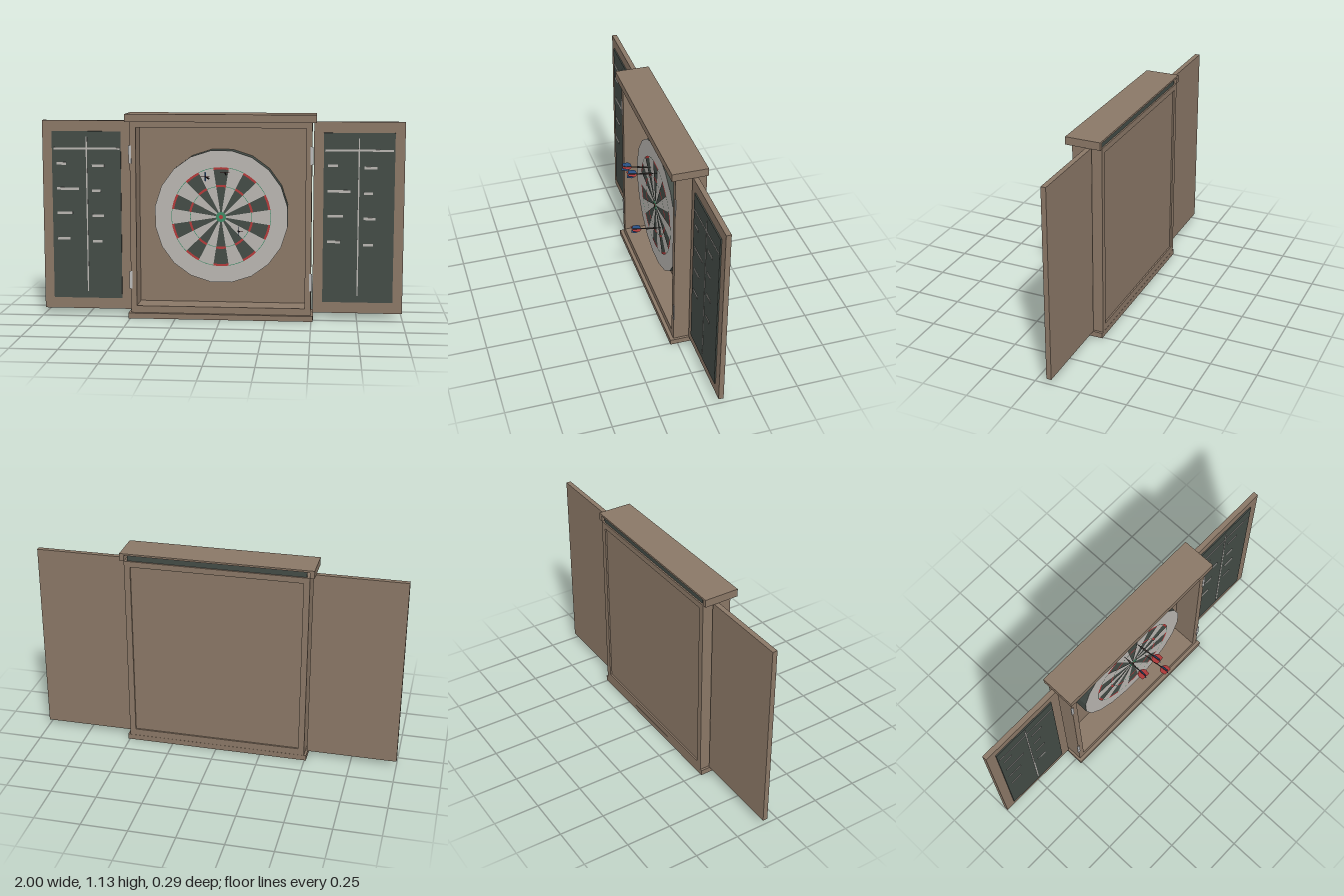
import * as THREE from 'three';

const mat = (name, color) => {
  const m = new THREE.MeshStandardMaterial({ color, side: THREE.DoubleSide });
  m.name = name;
  return m;
};

export function createModel() {
  const wood = mat('wood', 0x8a7766);
  const slate = mat('slate', 0x434b46);
  const cream = mat('cream', 0xb8b5b0);
  const red = mat('red', 0xb23a3a);
  const green = mat('green', 0x3f8a66);
  const blue = mat('blue', 0x2f5a92);
  const dark = mat('dark metal', 0x3a3430);
  const steel = mat('hinge grey', 0xb9b9b9);

  const root = new THREE.Group();
  root.name = 'dartboardCabinet';

  const add = (parent, name, geometry, material) => {
    const m = new THREE.Mesh(geometry, material);
    m.name = name;
    parent.add(m);
    return m;
  };
  // Box given by its limits on each axis
  const box = (parent, name, material, x0, x1, y0, y1, z0, z1) => {
    const m = add(parent, name, new THREE.BoxGeometry(x1 - x0, y1 - y0, z1 - z0), material);
    m.position.set((x0 + x1) / 2, (y0 + y1) / 2, (z0 + z1) / 2);
    return m;
  };

  // Cabinet: hollow frame with a recessed back panel
  const cabinet = new THREE.Group();
  cabinet.name = 'cabinet';
  root.add(cabinet);
  const frame = new THREE.Shape([[-0.497, 0.03], [0.497, 0.03], [0.497, 1.09], [-0.497, 1.09]]
    .map(p => new THREE.Vector2(...p)));
  frame.holes.push(new THREE.Path([[-0.464, 0.068], [-0.464, 1.058], [0.464, 1.058], [0.464, 0.068]]
    .map(p => new THREE.Vector2(...p))));
  add(cabinet, 'cabinetFrame', new THREE.ExtrudeGeometry(frame, { depth: 0.163, bevelEnabled: false }), wood)
    .position.z = -0.143;
  box(cabinet, 'backPanel', wood, -0.464, 0.464, 0.068, 1.058, -0.134, -0.124);
  box(cabinet, 'basePlinth', wood, -0.51, 0.51, 0, 0.03, -0.144, 0.04);

  // Hollow cap, open at the back
  const cap = new THREE.Group();
  cap.name = 'cap';
  root.add(cap);
  box(cap, 'capTop', wood, -0.52, 0.52, 1.122, 1.132, -0.144, 0.047);
  box(cap, 'capFront', wood, -0.52, 0.52, 1.09, 1.122, 0.02, 0.047);
  box(cap, 'capUnderRail', slate, -0.48, 0.48, 1.09, 1.122, -0.135, -0.127);
  for (const s of [-1, 1]) {
    box(cap, 'capSide', wood, s * 0.508 - 0.012, s * 0.508 + 0.012, 1.09, 1.122, -0.144, 0.02);
  }

  // Doors with chalkboards; both carry the same marks: [x0, x1, y]
  const marks = [
    [-0.92, -0.866, 0.85], [-0.92, -0.797, 0.71], [-0.92, -0.834, 0.573], [-0.92, -0.85, 0.43],
    [-0.722, -0.652, 0.84], [-0.722, -0.674, 0.70], [-0.722, -0.658, 0.56], [-0.722, -0.668, 0.415],
  ];
  for (const s of [-1, 1]) {
    const door = new THREE.Group();
    door.name = s > 0 ? 'leftDoor' : 'rightDoor';
    root.add(door);
    const mid = s * 0.753;
    box(door, 'doorPanel', wood, mid - 0.247, mid + 0.247, 0.03, 1.09, -0.091, -0.064);
    box(door, 'chalkboard', slate, mid - 0.193, mid + 0.193, 0.092, 1.03, -0.064, -0.057);
    const dx = s > 0 ? 1.503 : 0;
    const chalk = (x0, x1, y0, y1) =>
      box(door, 'chalkMark', cream, x0 + dx, x1 + dx, y0, y1, -0.057, -0.055);
    chalk(-0.936, -0.566, 0.929, 0.94);
    chalk(-0.755, -0.748, 0.13, 1.0);
    for (const [a, b, y] of marks) chalk(a, b, y - 0.007, y + 0.007);
    for (const y of [0.91, 0.215]) {
      box(root, 'hinge', steel, s * 0.496 - 0.008, s * 0.496 + 0.008, y - 0.049, y + 0.049, 0.017, 0.022);
    }
  }

  // Dartboard: twenty-sided drum, dark rim and cream face
  const board = new THREE.Group();
  board.name = 'dartboard';
  board.position.set(0, 0.565, 0);
  root.add(board);
  const faceZ = -0.03, step = Math.PI / 10;
  const rim = new THREE.CylinderGeometry(0.37, 0.37, 0.094, 20, 1, true)
    .rotateY(step / 2).rotateX(Math.PI / 2).toNonIndexed();
  rim.computeVertexNormals();
  add(board, 'boardRim', rim, slate).position.z = -0.077;
  add(board, 'boardFace', new THREE.CircleGeometry(0.37, 20, step / 2), cream).position.z = faceZ;

  // Scoring fields, each a slice of a flat ring
  const field = (name, r0, r1, i, material, lift) =>
    add(board, name, new THREE.RingGeometry(r0, r1, 4, 1, Math.PI / 2 + (i - 0.5) * step, step), material)
      .position.z = faceZ + lift;
  for (let i = 0; i < 20; i++) {
    if (i % 2 === 0) {
      field('darkWedge', 0.025, 0.263, i, slate, 0.002);
      field('doubleField', 0.263, 0.275, i, red, 0.002);
      field('trebleField', 0.166, 0.178, i, red, 0.003);
    } else {
      field('doubleLine', 0.272, 0.275, i, green, 0.002);
      field('trebleLine', 0.168, 0.171, i, green, 0.002);
    }
  }
  add(board, 'outerBull', new THREE.CircleGeometry(0.028, 20), green).position.z = faceZ + 0.004;
  add(board, 'innerBull', new THREE.CircleGeometry(0.011, 16), red).position.z = faceZ + 0.006;

  // Darts: tip at the local origin, flights toward +z
  const fin = new THREE.Shape([[0.118, 0], [0.13, 0.021], [0.143, 0.027], [0.172, 0.023],
    [0.172, -0.023], [0.143, -0.027], [0.13, -0.021]].map(p => new THREE.Vector2(...p)));
  const finGeo = new THREE.ShapeGeometry(fin).rotateY(-Math.PI / 2);
  const shaftGeo = new THREE.LatheGeometry([[0, 0], [0.0015, 0.01], [0.002, 0.03], [0.0048, 0.034],
    [0.0048, 0.085], [0.003, 0.09], [0.003, 0.165], [0, 0.165]]
    .map(p => new THREE.Vector2(...p)), 10).rotateX(Math.PI / 2);
  for (const [x, y] of [[-0.063, 0.774], [0.028, 0.797], [0.1, 0.482]]) {
    const dart = new THREE.Group();
    dart.name = 'dart';
    dart.position.set(x, y, -0.031);
    dart.rotation.set(-0.19, x < 0 ? -0.06 : 0.04, 0);
    root.add(dart);
    add(dart, 'dartShaft', shaftGeo, dark);
    add(dart, 'verticalFlight', finGeo, blue);
    add(dart, 'horizontalFlight', finGeo, red).rotation.z = Math.PI / 2;
  }
  return root;
}
